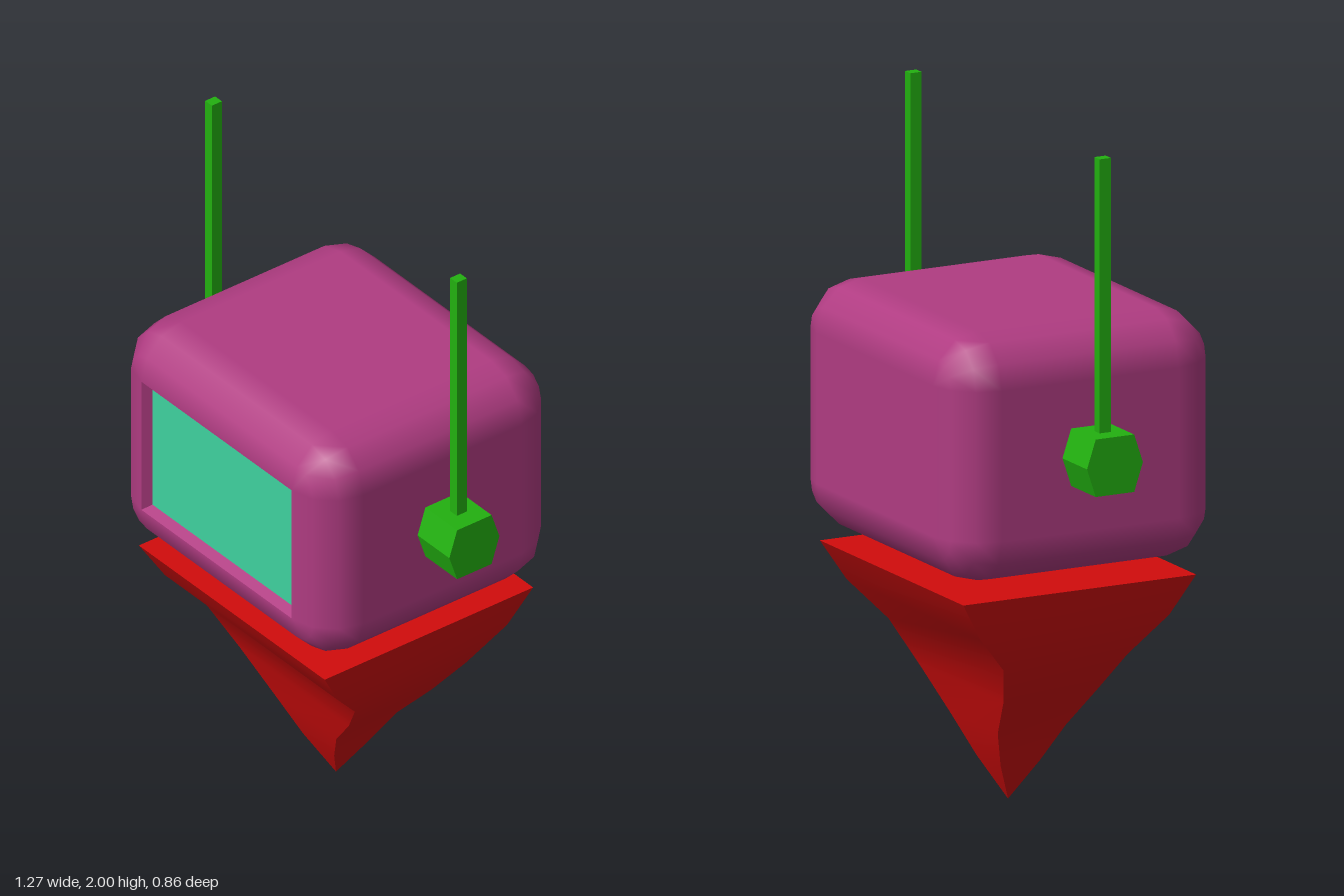
import * as THREE from 'three';

const mat = (color, extra = {}) => {
  const m = new THREE.MeshStandardMaterial({ color, ...extra });
  return m;
};

function addMesh(parent, name, geometry, material, x = 0, y = 0, z = 0) {
  const mesh = new THREE.Mesh(geometry, material);
  mesh.name = name;
  mesh.position.set(x, y, z);
  parent.add(mesh);
  return mesh;
}

function buildGeometry(positions, index, normals) {
  const g = new THREE.BufferGeometry();
  g.setAttribute('position', new THREE.Float32BufferAttribute(positions, 3));
  g.setIndex(index);
  if (normals) g.setAttribute('normal', new THREE.Float32BufferAttribute(normals, 3));
  else g.computeVertexNormals();
  return g;
}

// Rounded box as rings stacked from back to front, its flat front left open.
// hx, hy, hz are the half sizes of the flat faces; r is the edge radius.
function openRoundedBox(hx, hy, hz, r, steps) {
  const pos = [], nor = [], idx = [];
  const corners = [[1, 1], [-1, 1], [-1, -1], [1, -1]];
  const n = 4 * (steps + 1), rings = 2 * (steps + 1);
  for (let k = 0; k < rings; k++) {
    const front = k > steps;
    const lat = (front ? k - steps - 1 : k - steps) / steps * Math.PI / 2;
    corners.forEach(([sx, sy], c) => {
      for (let s = 0; s <= steps; s++) {
        const a = (c + s / steps) * Math.PI / 2;
        const nx = Math.cos(lat) * Math.cos(a), ny = Math.cos(lat) * Math.sin(a), nz = Math.sin(lat);
        pos.push(sx * hx + r * nx, sy * hy + r * ny, (front ? hz : -hz) + r * nz);
        nor.push(nx, ny, nz);
      }
    });
  }
  for (let k = 0; k < rings - 1; k++) {
    for (let i = 0; i < n; i++) {
      const j = (i + 1) % n, a = k * n + i, b = k * n + j;
      idx.push(a, b, b + n, a, b + n, a + n);
    }
  }
  // flat back
  const m = steps + 1;
  idx.push(0, 2 * m, m, 0, 3 * m, 2 * m);
  return buildGeometry(pos, idx, nor);
}

// Four sloping walls that join two rectangles, facing inwards
function recessWalls(x0, y0, z0, x1, y1, z1) {
  const pos = [], idx = [];
  const c = [[1, 1], [-1, 1], [-1, -1], [1, -1]];
  for (let i = 0; i < 4; i++) {
    const [ax, ay] = c[i], [bx, by] = c[(i + 1) % 4], o = 4 * i;
    pos.push(ax * x0, ay * y0, z0, bx * x0, by * y0, z0, bx * x1, by * y1, z1, ax * x1, ay * y1, z1);
    idx.push(o, o + 1, o + 2, o, o + 2, o + 3);
  }
  return buildGeometry(pos, idx);
}

// Tapering body: rectangular sections [y, half width, half depth],
// smooth along its height and sharp at the four corners
function taperedBody(sections) {
  const pos = [], idx = [];
  const c = [[-1, 1], [1, 1], [1, -1], [-1, -1]];
  for (let side = 0; side < 4; side++) {
    const [lx, lz] = c[side], [rx, rz] = c[(side + 1) % 4];
    const base = pos.length / 3;
    sections.forEach(([y, w, d], k) => {
      pos.push(lx * w, y, lz * d, rx * w, y, rz * d);
      if (k === 0) return;
      const a = base + 2 * (k - 1);
      idx.push(a, a + 1, a + 3, a, a + 3, a + 2);
    });
  }
  // flat top
  const [y, w, d] = sections[sections.length - 1], t = pos.length / 3;
  c.forEach(([sx, sz]) => pos.push(sx * w, y, sz * d));
  idx.push(t, t + 1, t + 2, t, t + 2, t + 3);
  return buildGeometry(pos, idx);
}

export function createModel() {
  const model = new THREE.Group();
  model.name = 'floatingRobot';
  const purple = mat(0xb03c82), red = mat(0xd20c0c), green = mat(0x22b010), mint = mat(0x3fd29e);

  // Head with a recessed screen
  const head = new THREE.Group();
  head.name = 'head';
  head.position.y = 1.115;
  model.add(head);
  addMesh(head, 'headShell', openRoundedBox(0.345, 0.22, 0.285, 0.145, 3), purple);
  addMesh(head, 'screenFrame', recessWalls(0.345, 0.22, 0.43, 0.333, 0.208, 0.4), purple);
  addMesh(head, 'screen', new THREE.PlaneGeometry(0.666, 0.416), mint, 0, 0, 0.4);

  // Pointed body hovering below the head
  addMesh(model, 'body', taperedBody([
    [0, 0, 0], [0.12, 0.072, 0.063], [0.235, 0.142, 0.11], [0.355, 0.25, 0.15],
    [0.475, 0.342, 0.2], [0.59, 0.397, 0.305], [0.705, 0.427, 0.375],
  ]), red);

  // Six-sided ears, each carrying an antenna
  const hexagon = new THREE.Shape(
    [[0.09, 0], [0.062, 0.084], [-0.062, 0.084], [-0.09, 0], [-0.062, -0.084], [0.062, -0.084]]
      .map(([x, y]) => new THREE.Vector2(x, y)));
  const earGeometry = new THREE.ExtrudeGeometry(hexagon, { depth: 0.165, bevelEnabled: false });
  earGeometry.translate(0, 0, -0.0825).rotateY(Math.PI / 2);
  const antennaGeometry = new THREE.BoxGeometry(0.031, 0.82, 0.036);
  for (const [side, s] of [['left', 1], ['right', -1]]) {
    addMesh(model, side + 'Ear', earGeometry, green, s * 0.5535, 1.115, 0);
    addMesh(model, side + 'Antenna', antennaGeometry, green, s * 0.563, 1.59, 0);
  }
  return model;
}
